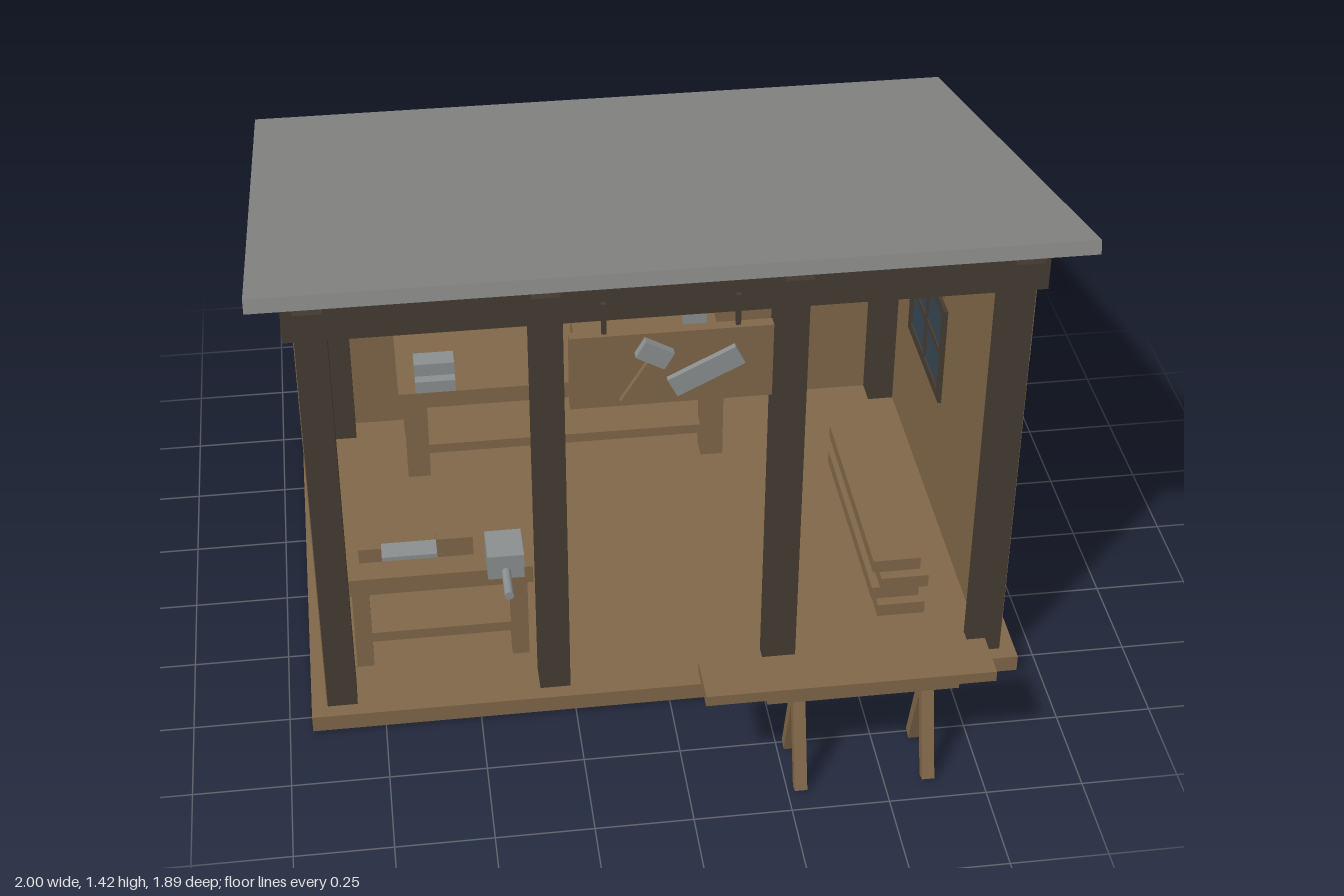
import * as THREE from 'three';

const mat = (name, color) => Object.assign(new THREE.MeshStandardMaterial({ color }), { name });

export function createModel() {
  const wood = mat('wood', 0x806748);
  const dark = mat('darkTimber', 0x453c33);
  const roofGrey = mat('roofGrey', 0x868684);
  const metal = mat('metal', 0x8a8f90);
  const glass = mat('glass', 0x364652);

  const model = new THREE.Group();
  model.name = 'workshopShed';

  const group = (name, parent = model) => {
    const g = new THREE.Group();
    g.name = name;
    parent.add(g);
    return g;
  };
  // Box given by its minimum and maximum on each axis
  const box = (parent, name, material, [x0, x1], [y0, y1], [z0, z1]) => {
    const m = new THREE.Mesh(new THREE.BoxGeometry(x1 - x0, y1 - y0, z1 - z0), material);
    m.position.set((x0 + x1) / 2, (y0 + y1) / 2, (z0 + z1) / 2);
    m.name = name;
    parent.add(m);
    return m;
  };
  const around = (c, w) => [c - w / 2, c + w / 2];
  const mirrored = (s, a, b) => (s > 0 ? [a, b] : [-b, -a]);

  // Floor and walls
  box(model, 'floor', wood, [-0.94, 0.94], [0.008, 0.055], [-0.82, 0.56]);
  box(model, 'backWall', wood, [-0.9, 0.9], [0.055, 0.995], [-0.78, -0.735]);
  const gableShape = new THREE.Shape([[-0.52, 0.995], [0.78, 0.995], [0.78, 1.003], [-0.52, 1.345]]
    .map(([a, b]) => new THREE.Vector2(a, b)));
  for (const s of [1, -1]) {
    const side = group(s > 0 ? 'leftSide' : 'rightSide');
    box(side, 'sideWall', wood, mirrored(s, 0.855, 0.9), [0.055, 0.995], [-0.78, 0.518]);
    const gable = new THREE.Mesh(
      new THREE.ExtrudeGeometry(gableShape, { depth: 0.045, bevelEnabled: false }), wood);
    gable.rotation.y = Math.PI / 2;
    gable.position.x = s > 0 ? 0.855 : -0.9;
    gable.name = 'gable';
    side.add(gable);

    // Window with four panes
    const win = group('window', side);
    const fx = mirrored(s, 0.845, 0.922);
    box(win, 'glass', glass, mirrored(s, 0.85, 0.91), [0.45, 0.72], [-0.47, -0.12]);
    for (const y of [0.445, 0.72]) box(win, 'frameRail', dark, fx, around(y, 0.03), [-0.49, -0.1]);
    for (const z of [-0.475, -0.115]) box(win, 'frameStile', dark, fx, [0.46, 0.705], around(z, 0.03));
    box(win, 'verticalBar', dark, fx, [0.46, 0.705], around(-0.295, 0.018));
    box(win, 'horizontalBar', dark, fx, around(0.583, 0.018), [-0.46, -0.13]);

    // Posts
    box(side, 'frontCornerPost', dark, mirrored(s, 0.82, 0.898), [0.055, 1.21], [0.44, 0.521]);
    box(side, 'backCornerPost', dark, mirrored(s, 0.78, 0.898), [0.055, 0.99], [-0.775, -0.66]);
    box(side, 'innerPost', dark, mirrored(s, 0.26, 0.34), [0.055, 1.21], [0.44, 0.521]);
  }
  box(model, 'frontBeam', dark, [-0.925, 0.925], [1.21, 1.31], [0.43, 0.53]);

  // Sloping roof with rafters below it
  const roof = group('roof');
  roof.position.set(0, 1.195, -0.138);
  roof.rotation.x = -Math.atan(0.264);
  box(roof, 'roofPanel', roofGrey, [-1, 1], [-0.018, 0.018], [-0.83, 0.83]);
  for (const x of [-0.86, -0.305, 0.3, 0.86])
    box(roof, 'rafter', dark, around(x, 0.07), [-0.065, -0.018], [-0.735, 0.725]);

  // Hanging sign with a hammer and a blade
  const sign = group('hangingSign');
  box(sign, 'signBoard', wood, [-0.25, 0.245], [0.98, 1.185], [0.533, 0.562]);
  for (const x of [-0.165, 0.16]) box(sign, 'signRod', dark, around(x, 0.012), [1.185, 1.27], [0.54, 0.552]);
  const tilted = (name, material, x, y, w, h, depth, angle) => {
    const m = box(sign, name, material, around(x, w), around(y, h), [0.56, 0.56 + depth]);
    m.rotation.z = angle;
  };
  tilted('signHammerHandle', wood, -0.083, 1.058, 0.022, 0.145, 0.018, -0.55);
  tilted('signHammerHead', metal, -0.046, 1.135, 0.08, 0.05, 0.025, -0.52);
  tilted('signBlade', metal, 0.08, 1.073, 0.185, 0.055, 0.018, 0.47);

  // Tool board on the back wall
  const tools = group('toolBoard');
  box(tools, 'board', dark, [-0.575, 0.245], [0.48, 0.85], [-0.736, -0.715]);
  const tool = (name, m, x, y, d = 0.025) => box(tools, name, m, x, y, [-0.716, -0.716 + d]);
  tool('sawHandle', wood, [-0.605, -0.525], [0.65, 0.73], 0.03);
  tool('sawBlade', metal, [-0.53, -0.28], [0.635, 0.73], 0.015);
  tool('hammerHandle', wood, [-0.14, -0.115], [0.51, 0.73]);
  tool('hammerHead', metal, [-0.175, -0.078], [0.727, 0.767], 0.04);
  tool('hatchetHandle', wood, [0.11, 0.135], [0.51, 0.72]);
  tool('hatchetHead', metal, [0.117, 0.185], [0.705, 0.785], 0.032);

  // Workbench: top, four legs and a low shelf
  const bench = (name, [x0, x1], [z0, z1], leg) => {
    const g = group(name);
    box(g, 'benchTop', wood, [x0, x1], [0.31, 0.362], [z0, z1]);
    for (const x of [x0 + 0.015, x1 - 0.015 - leg])
      for (const z of [z0 + 0.015, z1 - 0.015 - leg])
        box(g, 'benchLeg', wood, [x, x + leg], [0.055, 0.31], [z, z + leg]);
    box(g, 'benchShelf', wood, [x0 + 0.03, x1 - 0.03], [0.125, 0.155], [z0 + 0.03, z1 - 0.03]);
    return g;
  };
  const front = bench('frontBench', [-0.83, -0.34], [0.13, 0.39], 0.045);
  box(front, 'benchSawHandle', wood, [-0.79, -0.73], [0.362, 0.405], [0.26, 0.32]);
  box(front, 'benchSawBlade', metal, [-0.73, -0.57], [0.362, 0.374], [0.26, 0.32]);
  box(front, 'plane', wood, [-0.585, -0.49], [0.362, 0.42], [0.27, 0.32]);
  const vise = group('vise', front);
  box(vise, 'viseBody', metal, [-0.46, -0.365], [0.362, 0.435], [0.32, 0.43]);
  const screw = new THREE.Mesh(new THREE.CylinderGeometry(0.012, 0.012, 0.1, 12), metal);
  screw.rotation.x = Math.PI / 2;
  screw.position.set(-0.413, 0.385, 0.48);
  screw.name = 'viseScrew';
  vise.add(screw);

  const back = bench('backBench', [-0.65, 0.31], [-0.735, -0.43], 0.065);
  box(back, 'smallVise', metal, [-0.6, -0.485], [0.362, 0.4], [-0.56, -0.43]);
  box(back, 'smallViseJaw', metal, [-0.6, -0.485], [0.4, 0.44], [-0.52, -0.46]);
  box(back, 'toolBox', wood, [-0.13, 0.115], [0.362, 0.43], [-0.67, -0.54]);
  box(back, 'metalBlock', metal, [0.2, 0.26], [0.362, 0.49], [-0.64, -0.56]);

  // Stacked lumber
  const stack = group('lumberStack');
  [0.73, 0.715, 0.735, 0.715].forEach((x, i) =>
    box(stack, 'board', wood, [x - 0.13, x], [0.057 + i * 0.046, 0.095 + i * 0.046], [-0.3, 0.35 - (i % 2) * 0.02]));

  // Sawhorse carrying a plank
  const horse = group('sawhorse');
  box(horse, 'plank', wood, [0.04, 0.775], [0.297, 0.327], [0.78, 0.91]);
  box(horse, 'crossbeam', wood, [0.2, 0.69], [0.255, 0.297], [0.815, 0.878]);
  for (const x of [0.283, 0.612])
    for (const s of [1, -1]) {
      const leg = box(horse, 'sawhorseLeg', wood, around(x, 0.032), around(0.13, 0.258), around(0.846 + s * 0.043, 0.03));
      leg.rotation.x = -s * 0.31;
    }
  return model;
}
